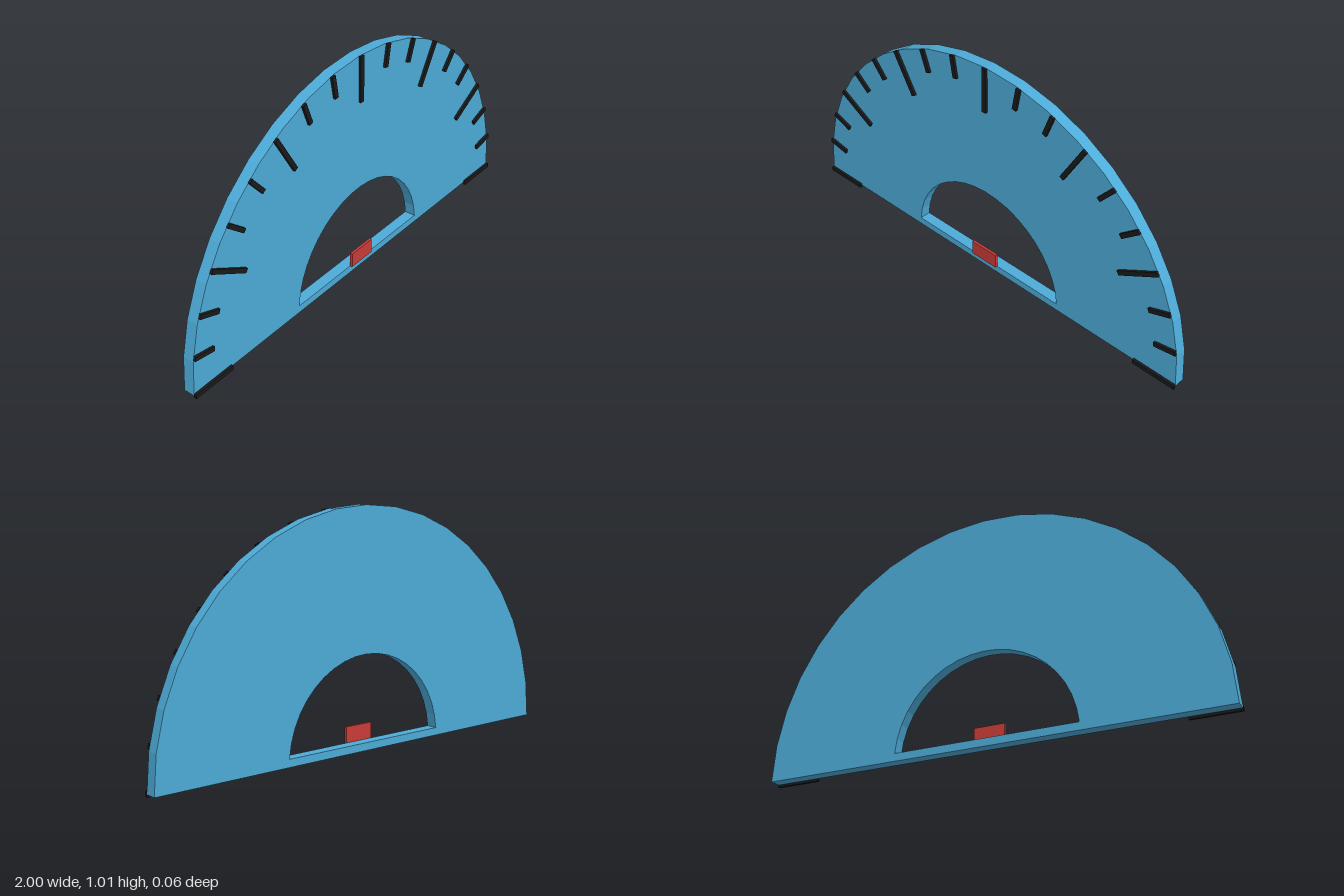
import * as THREE from 'three';

const BASE_Y = 0.01;   // baseline of the semicircle
const FRONT_Z = 0.02;  // front face of the plate

const material = (color) => new THREE.MeshStandardMaterial({ color, flatShading: true });

// Points of an arc from angle a to angle b
function arc(radius, a, b, segments) {
  return Array.from({ length: segments + 1 }, (_, i) => {
    const t = a + (b - a) * i / segments;
    return new THREE.Vector2(radius * Math.cos(t), radius * Math.sin(t));
  });
}

export function createModel() {
  const model = new THREE.Group();
  model.name = 'protractor';

  // Half-disc plate with a half-round window above a thin base bar
  const shape = new THREE.Shape(arc(1, 0, Math.PI, 20));
  const start = Math.asin(0.033 / 0.4);
  shape.holes.push(new THREE.Path(arc(0.4, start, Math.PI - start, 20)));
  const plate = new THREE.Mesh(
    new THREE.ExtrudeGeometry(shape, { depth: 0.05, bevelEnabled: false }),
    material(0x4dabd8)
  );
  plate.name = 'plate';
  plate.position.set(0, BASE_Y, FRONT_Z - 0.05);
  model.add(plate);

  // Raised degree marks every 10 degrees, longer every 30
  const marks = new THREE.Group();
  marks.name = 'degreeMarks';
  const black = material(0x1a1a1a);
  for (let deg = 0; deg <= 180; deg += 10) {
    const length = deg % 30 === 0 ? 0.2 : 0.1;
    const angle = THREE.MathUtils.degToRad(deg);
    const r = 1 - length / 2;
    const mark = new THREE.Mesh(new THREE.BoxGeometry(length, 0.02, 0.012), black);
    mark.name = 'mark' + deg;
    mark.position.set(r * Math.cos(angle), BASE_Y + r * Math.sin(angle), FRONT_Z + 0.005);
    mark.rotation.z = angle;
    marks.add(mark);
  }
  model.add(marks);

  // Centre marker standing on the base bar
  const marker = new THREE.Mesh(new THREE.BoxGeometry(0.134, 0.067, 0.012), material(0xc83c37));
  marker.name = 'centreMarker';
  marker.position.set(0, 0.0765, FRONT_Z + 0.005);
  model.add(marker);

  return model;
}
